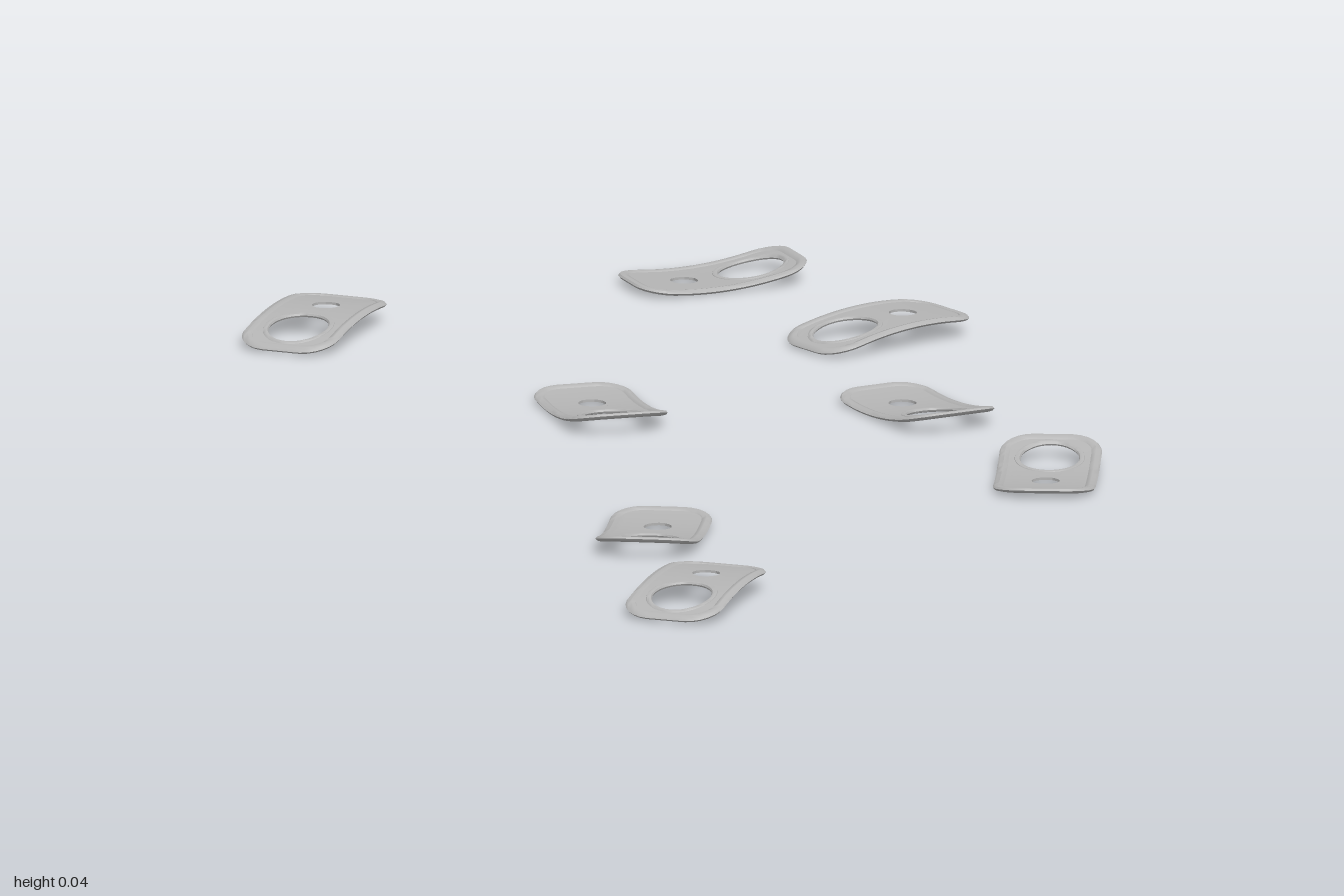
import * as THREE from 'three';
import { toCreasedNormals } from 'three/addons/utils/BufferGeometryUtils.js';

const HALF_L = 0.134, HALF_W = 0.071, CORNER = 0.042; // rim centre line
const FLIP_HEIGHT = 0.0385;

// Rounded rectangle, long side along x
function tabOutline() {
  const s = new THREE.Shape(), a = HALF_L, b = HALF_W, r = CORNER;
  s.moveTo(-a + r, -b);
  s.lineTo(a - r, -b);
  s.absarc(a - r, -b + r, r, -Math.PI / 2, 0);
  s.lineTo(a, b - r);
  s.absarc(a - r, b - r, r, 0, Math.PI / 2);
  s.lineTo(-a + r, b);
  s.absarc(-a + r, b - r, r, Math.PI / 2, Math.PI);
  s.lineTo(-a, -b + r);
  s.absarc(-a + r, -b + r, r, Math.PI, Math.PI * 1.5);
  return s.getSpacedPoints(64).slice(0, -1);
}

function ellipse(cx, rx, ry, n) {
  return new THREE.EllipseCurve(cx, 0, rx, ry).getPoints(n).slice(0, -1);
}

// Split each triangle into four so that the plate can bend smoothly
function subdivide(geo) {
  const p = geo.attributes.position, out = [];
  const v = () => new THREE.Vector3();
  for (let i = 0; i < p.count; i += 3) {
    const [a, b, c] = [0, 1, 2].map(k => v().fromBufferAttribute(p, i + k));
    const ab = v().lerpVectors(a, b, 0.5), bc = v().lerpVectors(b, c, 0.5), ca = v().lerpVectors(c, a, 0.5);
    for (const q of [a, ab, ca, ab, b, bc, ca, bc, c, ab, bc, ca]) out.push(q.x, q.y, q.z);
  }
  const g = new THREE.BufferGeometry();
  g.setAttribute('position', new THREE.Float32BufferAttribute(out, 3));
  return g;
}

// Curve the tab upward toward its large-hole end
function bend(geo) {
  const p = geo.attributes.position;
  for (let i = 0; i < p.count; i++) {
    const u = p.getX(i) + 0.04;
    p.setY(i, p.getY(i) + 0.0045 + 0.85 * u * u);
  }
  return toCreasedNormals(geo, 0.7);
}

// Flattened bead following a closed loop
function bead(points, radius, flatten, steps) {
  const path = new THREE.CatmullRomCurve3(points.map(q => new THREE.Vector3(q.x, 0, q.y)), true);
  const g = new THREE.TubeGeometry(path, steps, radius, 8, true);
  g.scale(1, flatten, 1);
  return bend(g);
}

export function createModel() {
  const model = new THREE.Group();
  model.name = 'scatteredPullTabs';
  const metal = new THREE.MeshStandardMaterial({ color: 0xb4b4b4 });
  metal.name = 'aluminium grey';

  // Thin plate with a finger hole and a rivet hole
  const outline = tabOutline();
  const shape = new THREE.Shape(outline);
  shape.holes.push(new THREE.Path(ellipse(0.064, 0.055, 0.049, 28)));
  shape.holes.push(new THREE.Path(ellipse(-0.048, 0.022, 0.022, 16)));
  let plate = new THREE.ExtrudeGeometry(shape, { depth: 0.004, bevelEnabled: false });
  plate.translate(0, 0, -0.002);
  plate.rotateX(-Math.PI / 2);
  plate = bend(subdivide(subdivide(plate)));

  // Curled edges
  const rim = bead(outline, 0.009, 0.5, 72);
  const holeRim = bead(ellipse(0.064, 0.057, 0.051, 28), 0.005, 0.8, 36);

  // x, z, direction toward the large hole (dx, dz), turned over
  const tabs = [
    [-0.778, -0.634, 5.5, -20.5, false],
    [-0.325, -0.618, 0, 1, true],
    [0.099, -0.377, 21, 3, false],
    [0.553, -0.291, -16, -13.5, false],
    [-0.878, 0.067, 11, 18.5, true],
    [-0.193, 0.021, 20, 7.5, false],
    [0.5, 0.436, 15, 14.5, false],
    [0.874, 0.634, 11.5, 17.5, true],
  ];
  tabs.forEach(([x, z, dx, dz, over], i) => {
    const tab = new THREE.Group();
    tab.name = `pullTab${i + 1}`;
    for (const [name, geo] of [['plate', plate], ['outerRim', rim], ['fingerHoleRim', holeRim]]) {
      const mesh = new THREE.Mesh(geo, metal);
      mesh.name = name;
      tab.add(mesh);
    }
    tab.rotation.order = 'YXZ';
    tab.rotation.set(over ? Math.PI : 0, Math.atan2(-dz, dx), 0);
    tab.position.set(x, over ? FLIP_HEIGHT : 0, z);
    model.add(tab);
  });
  return model;
}
